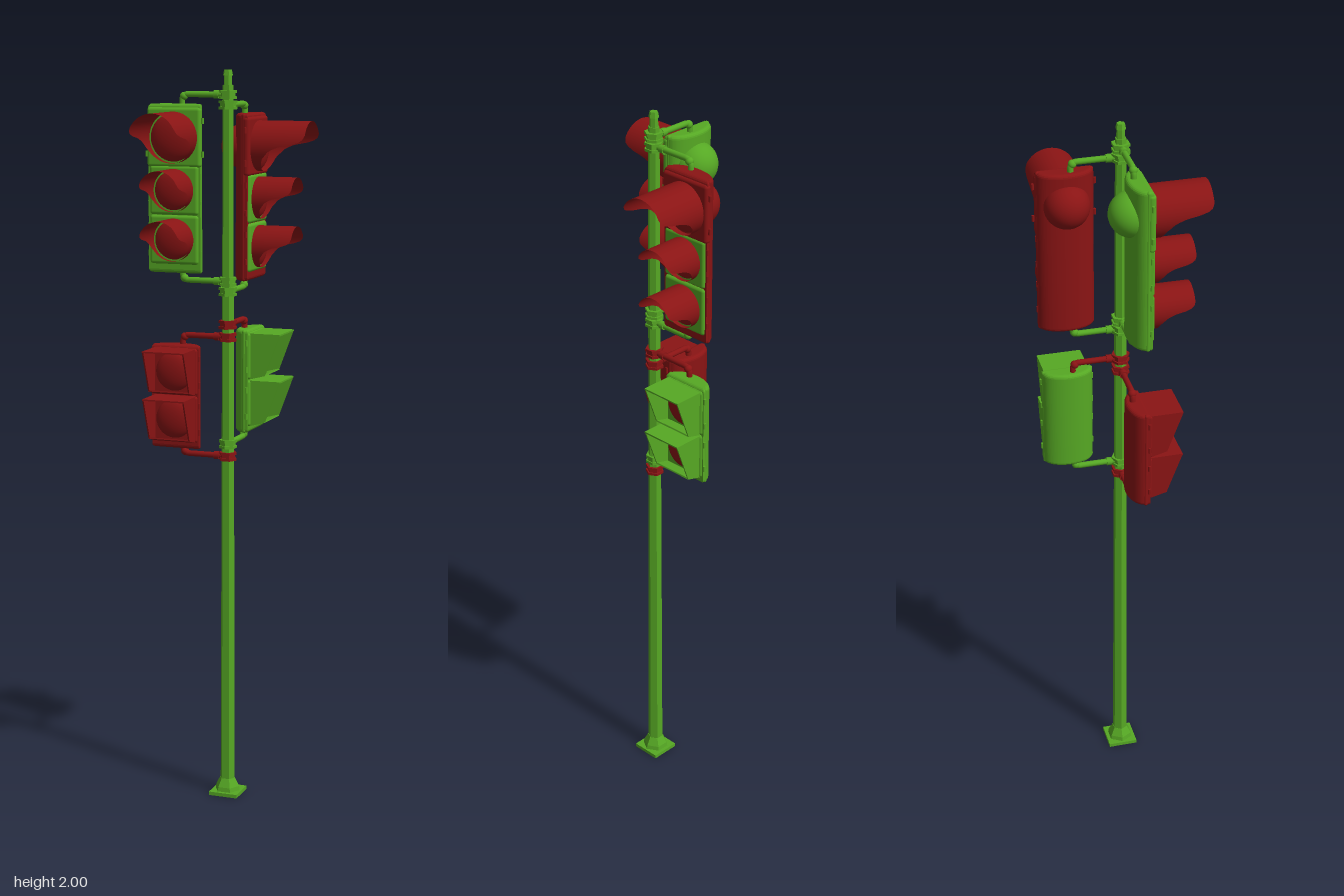
import * as THREE from 'three';
import { RoundedBoxGeometry } from 'three/addons/geometries/RoundedBoxGeometry.js';
import { ParametricGeometry } from 'three/addons/geometries/ParametricGeometry.js';

const GREEN = 0x56a824, RED = 0x8a1414;
const POLE = 0.018;    // x and z of the pole axis
const OFFSET = 0.124;  // sideways distance of the heads from the origin

const smooth = {
  [GREEN]: new THREE.MeshStandardMaterial({ color: GREEN, side: THREE.DoubleSide }),
  [RED]: new THREE.MeshStandardMaterial({ color: RED, side: THREE.DoubleSide }),
};
const faceted = {
  [GREEN]: new THREE.MeshStandardMaterial({ color: GREEN, flatShading: true }),
  [RED]: new THREE.MeshStandardMaterial({ color: RED, flatShading: true }),
};

function add(parent, name, geometry, material, x = 0, y = 0, z = 0) {
  const mesh = new THREE.Mesh(geometry, material);
  mesh.name = name;
  mesh.position.set(x, y, z);
  parent.add(mesh);
  return mesh;
}

// Housing with a half-elliptical back and bevelled ends
function housingGeometry(width, height) {
  const b = 0.01;
  const shape = new THREE.Shape();
  shape.absellipse(0, 0, width / 2 - b, 0.032, 0, Math.PI, false, 0);
  shape.closePath();
  const geo = new THREE.ExtrudeGeometry(shape, {
    depth: height - 2 * b, bevelSize: b, bevelThickness: b, bevelSegments: 4, curveSegments: 24,
  });
  geo.translate(0, 0, b);
  return geo.rotateX(-Math.PI / 2);
}

// Round visor: a tube whose length shrinks from the top to the bottom
function visorGeometry(r, length) {
  const steps = [[-1, 0.12], [-0.5, 0.2], [-0.15, 0.35], [0.02, 0.55], [0.12, 0.82], [0.25, 0.95], [0.45, 1], [1.01, 1]];
  const reach = h => {
    const i = Math.max(1, steps.findIndex(s => s[0] >= h));
    const [h0, l0] = steps[i - 1], [h1, l1] = steps[i];
    return length * THREE.MathUtils.mapLinear(h, h0, h1, l0, l1);
  };
  return new ParametricGeometry((u, v, p) => {
    const a = u * Math.PI * 2, h = -Math.cos(a);
    p.set(r * Math.sin(a), r * h, v * reach(h));
  }, 64, 6);
}

function addLens(head, r, y) {
  const lens = add(head, 'lens', new THREE.SphereGeometry(r, 32, 8, 0, Math.PI * 2, 0, Math.PI / 2)
    .rotateX(Math.PI / 2), smooth[RED], 0, y, 0.053);
  lens.scale.z = 0.35;
}

// Square hood: slanted side walls with a top and a bottom panel
function addSquareHood(head, y, color) {
  const hood = new THREE.Group();
  hood.name = 'squareHood';
  hood.position.set(0, y, 0);
  head.add(hood);
  const side = new THREE.Shape([[0.05, 0.062], [0.137, 0.062], [0.095, -0.05], [0.05, -0.062]]
    .map(p => new THREE.Vector2(...p)));
  const wall = new THREE.ExtrudeGeometry(side, { depth: 0.004, bevelEnabled: false }).rotateY(-Math.PI / 2);
  for (const x of [-0.056, 0.06]) add(hood, 'hoodSide', wall, faceted[color], x);
  add(hood, 'hoodTop', new THREE.BoxGeometry(0.12, 0.004, 0.087), faceted[color], 0, 0.061, 0.0935);
  add(hood, 'hoodBottom', new THREE.BoxGeometry(0.12, 0.004, 0.046), faceted[color], 0, -0.056, 0.0725)
    .rotation.x = -0.26;
}

// Bracket: a pipe from the pole that turns into the end of the housing
function addBracket(head, side, y, turn, color) {
  const bracket = new THREE.Group();
  bracket.name = 'bracket';
  head.add(bracket);
  const poleX = side * (POLE + OFFSET), endX = side * 0.012, z = POLE;
  const P = (x, yy) => new THREE.Vector3(x, yy, z);
  const bend = endX + side * 0.018;
  const path = new THREE.CurvePath();
  path.add(new THREE.LineCurve3(P(poleX, y), P(bend, y)));
  path.add(new THREE.QuadraticBezierCurve3(P(bend, y), P(endX, y), P(endX, y + turn * 0.018)));
  path.add(new THREE.LineCurve3(P(endX, y + turn * 0.018), P(endX, y + turn * 0.04)));
  add(bracket, 'bracketPipe', new THREE.TubeGeometry(path, 48, 0.008, 12), smooth[color]);
  add(bracket, 'elbow', new THREE.SphereGeometry(0.011, 16, 12), smooth[color], endX + side * 0.005, y + turn * 0.005, z);
  add(bracket, 'pipeCollar', new THREE.CylinderGeometry(0.011, 0.011, 0.014, 12).rotateZ(Math.PI / 2),
    smooth[color], poleX - side * 0.032, y, z);
  // Clamp around the pole
  const clamp = new THREE.CylinderGeometry(0.025, 0.025, 0.007, 6).rotateY(Math.PI / 2);
  for (const dy of [-0.008, 0.008]) add(bracket, 'poleClamp', clamp, faceted[color], poleX, y + dy, z);
  add(bracket, 'clampCore', new THREE.CylinderGeometry(0.021, 0.021, 0.02, 6).rotateY(Math.PI / 2), faceted[color], poleX, y, z);
}

function addDoor(head, y, width, height, color, hingeColor) {
  add(head, 'door', new RoundedBoxGeometry(width, height, 0.02, 4, 0.009), smooth[color], 0, y, 0.044);
  const hinge = new THREE.CylinderGeometry(0.004, 0.004, 0.016, 8);
  for (const s of [-1, 1])
    for (const dy of [-0.28, 0.28])
      add(head, 'hinge', hinge, smooth[hingeColor], s * (width / 2 + 0.003), y + dy * height, 0.044);
}

// Three-lamp head, with its lower end at y = 0
function vehicleHead(color, lowerDoorColor, side) {
  const head = new THREE.Group();
  head.name = 'vehicleSignal';
  add(head, 'housing', housingGeometry(0.148, 0.45), smooth[color], 0, 0, 0.038);
  add(head, 'rim', new RoundedBoxGeometry(0.15, 0.45, 0.012, 3, 0.006), smooth[color], 0, 0.225, 0.036);
  add(head, 'backDome', new THREE.SphereGeometry(0.06, 32, 24), smooth[color], 0, 0.36, 0.01);
  const lamps = [
    { y: 0.09, r: 0.057, reach: 0.113, h: 0.132, w: 0.14, c: lowerDoorColor },
    { y: 0.222, r: 0.057, reach: 0.113, h: 0.132, w: 0.14, c: lowerDoorColor },
    { y: 0.362, r: 0.068, reach: 0.153, h: 0.158, w: 0.154, c: color },
  ];
  for (const l of lamps) {
    addDoor(head, l.y, l.w, l.h, l.c, color);
    addLens(head, l.r - 0.004, l.y);
    add(head, 'visor', visorGeometry(l.r, l.reach), smooth[RED], 0, l.y, 0.052);
  }
  addBracket(head, side, 0.475, -1, GREEN);
  addBracket(head, side, -0.02, 1, GREEN);
  return head;
}

// Two-lamp head, with its lower end at y = 0
function walkHead(color, side, lowerBracketColor) {
  const head = new THREE.Group();
  head.name = 'pedestrianSignal';
  add(head, 'housing', housingGeometry(0.136, 0.285), smooth[color], 0, 0, 0.038);
  add(head, 'rim', new RoundedBoxGeometry(0.138, 0.285, 0.012, 3, 0.006), smooth[color], 0, 0.1425, 0.036);
  for (const y of [0.083, 0.213]) {
    addDoor(head, y, 0.132, 0.13, color, color);
    addLens(head, 0.053, y);
    addSquareHood(head, y, color);
  }
  addBracket(head, side, 0.31, -1, RED);
  addBracket(head, side, -0.017, 1, lowerBracketColor);
  return head;
}

export function createModel() {
  const model = new THREE.Group();
  model.name = 'trafficSignal';

  // Post: square foot plate, flared foot, tapering hexagonal shaft and tip
  const post = new THREE.Group();
  post.name = 'post';
  post.position.set(POLE, 0, POLE);
  model.add(post);
  add(post, 'footPlate', new THREE.BoxGeometry(0.082, 0.01, 0.082), faceted[GREEN], 0, 0.005, 0);
  const shaft = [
    ['foot', 0.036, 0.034, 0.01, 0.022],
    ['footFlare', 0.034, 0.022, 0.022, 0.045],
    ['shaft', 0.021, 0.015, 0.045, 1.96],
    ['neck', 0.012, 0.011, 1.96, 1.985],
    ['tip', 0.014, 0.011, 1.985, 2],
  ];
  for (const [name, r0, r1, y0, y1] of shaft)
    add(post, name, new THREE.CylinderGeometry(r1, r0, y1 - y0, 6).rotateY(Math.PI / 2), faceted[GREEN], 0, (y0 + y1) / 2, 0);

  // Heads facing the front
  const front = new THREE.Group();
  front.name = 'frontSignals';
  front.position.x = -OFFSET;
  const frontVehicle = vehicleHead(GREEN, GREEN, 1);
  frontVehicle.position.y = 1.46;
  const frontWalk = walkHead(RED, 1, RED);
  frontWalk.position.y = 0.98;
  front.add(frontVehicle, frontWalk);

  // Heads facing the left side, hung slightly lower and higher
  const left = new THREE.Group();
  left.name = 'leftSignals';
  left.position.z = -OFFSET;
  left.rotation.y = Math.PI / 2;
  const leftVehicle = vehicleHead(RED, GREEN, -1);
  leftVehicle.position.y = 1.433;
  const leftWalk = walkHead(GREEN, -1, GREEN);
  leftWalk.position.y = 1.014;
  left.add(leftVehicle, leftWalk);

  model.add(front, left);
  return model;
}
